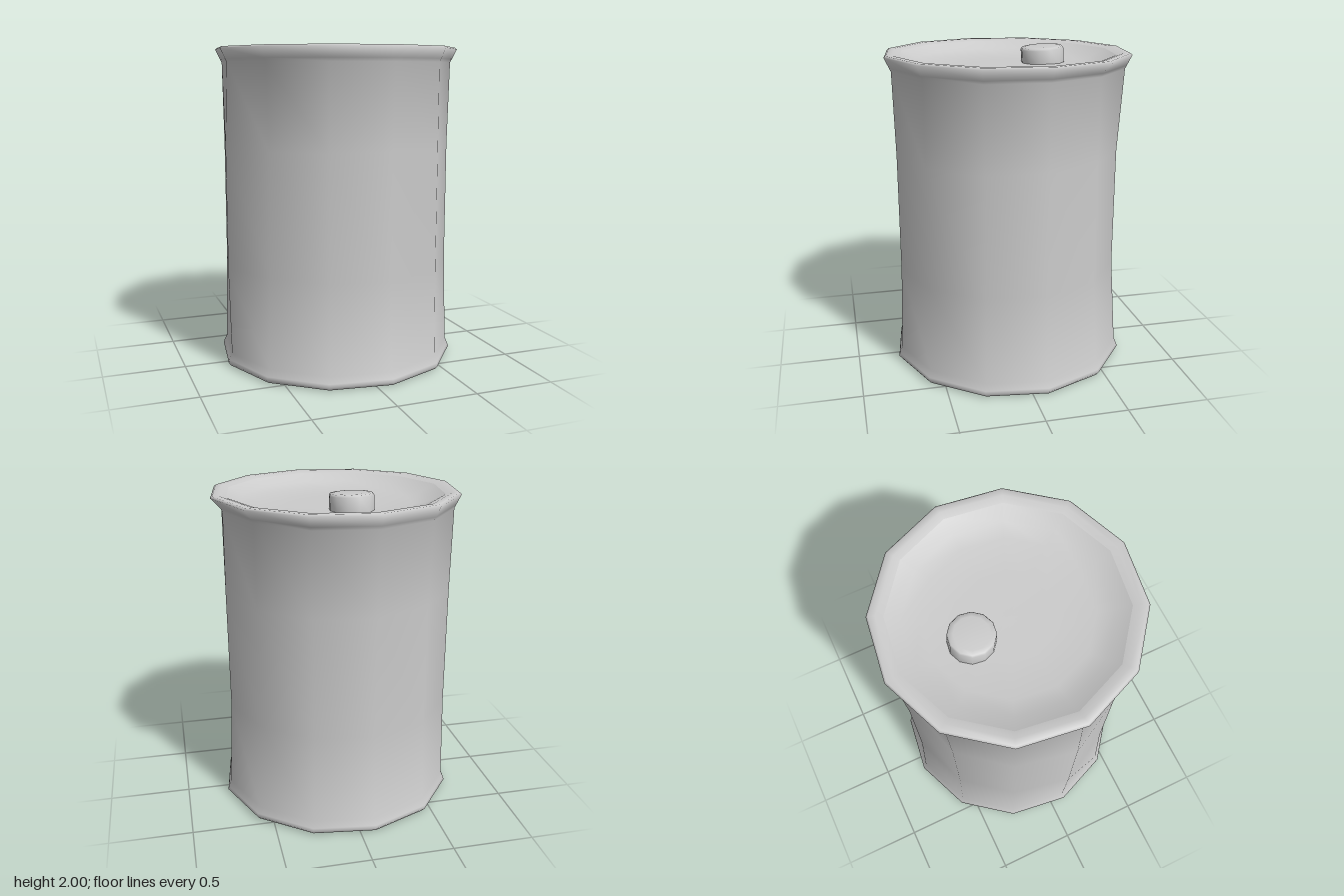
import * as THREE from 'three';
import { mergeVertices, toCreasedNormals } from 'three/addons/utils/BufferGeometryUtils.js';

const SIDES = 12;
const TWIST = THREE.MathUtils.degToRad(7.3);
// Radius of the uneven waist at each corner, from the +x corner towards +z
const WAIST = [0.7, 0.71, 0.722, 0.71, 0.7, 0.697, 0.74, 0.715, 0.705, 0.695, 0.69, 0.69];

const material = new THREE.MeshStandardMaterial({ color: 0xcccccc });

// Twelve-sided turned part; profile pairs are [radius, height].
function turned(name, profile, crease, bend) {
  const points = profile.map(([r, y]) => new THREE.Vector2(r, y));
  let geo = new THREE.LatheGeometry(points, SIDES, TWIST);
  geo.deleteAttribute('uv');
  geo.deleteAttribute('normal');
  geo = mergeVertices(geo, 1e-4);
  if (bend) {
    const p = geo.attributes.position;
    for (let i = 0; i < p.count; i++) {
      const x = p.getX(i), y = p.getY(i), z = p.getZ(i);
      const s = bend(Math.atan2(z, x), y);
      p.setXYZ(i, x * s, y, z * s);
    }
  }
  const mesh = new THREE.Mesh(toCreasedNormals(geo, crease), material);
  mesh.name = name;
  return mesh;
}

// Radial scale of the wall: uneven waist, and a dent under the lip on the right-hand back side.
function batter(angle, y) {
  if (y > 0.5 && y < 1.5) {
    const corner = Math.round((angle + TWIST) / (Math.PI / 6));
    return WAIST[(corner + SIDES) % SIDES];
  }
  if (y > 1.8 && y < 1.92) return 1 - 0.06 * Math.exp(-(((angle + 0.4) / 0.4) ** 2));
  return 1;
}

export function createModel() {
  const group = new THREE.Group();
  group.name = 'barrel';

  // Flat underside, rounded foot, wall and flared lip; the waist has unit radius, set by batter()
  group.add(turned('body', [
    [0, 0], [0.695, 0], [0.735, 0.006], [0.75, 0.025], [0.745, 0.045], [0.727, 0.085],
    [1, 0.63], [1, 1.37],
    [0.722, 1.88], [0.732, 1.9], [0.762, 1.962], [0.75, 1.972], [0.71, 1.972], [0.668, 1.96],
  ], 1.8, batter));

  // Dished lid
  group.add(turned('lid', [[0.668, 1.96], [0.58, 1.918], [0.48, 1.893], [0.25, 1.893], [0, 1.885]], 1));

  // Off-centre cap, leaning slightly forward
  const cap = turned('cap', [[0.134, -0.06], [0.134, 0.032], [0.127, 0.044], [0.1, 0.048], [0, 0.049]], 1);
  cap.position.set(-0.047, 1.943, -0.238);
  cap.rotation.set(0.06, 0, -0.01);
  group.add(cap);

  return group;
}
